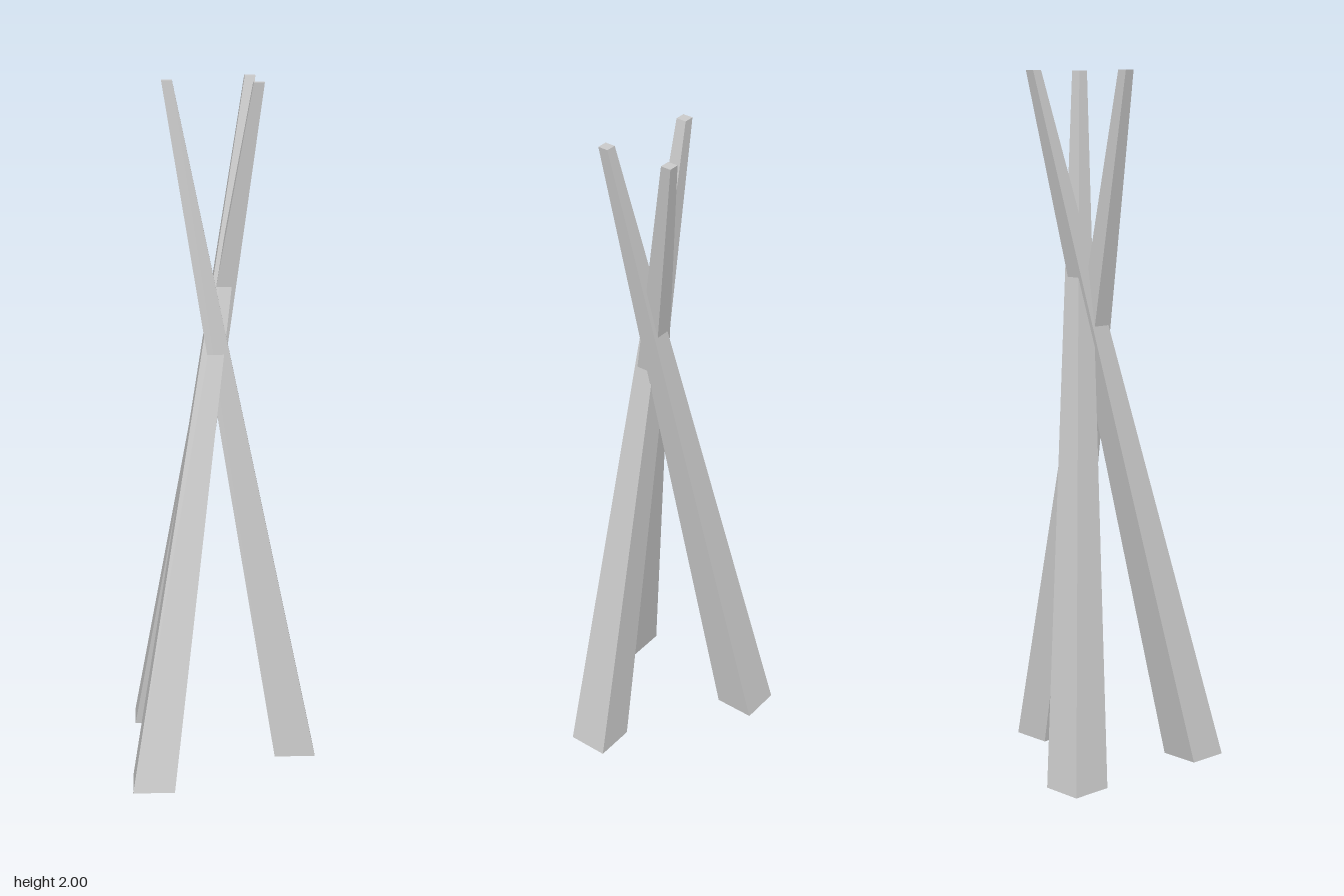
import * as THREE from 'three';

const material = new THREE.MeshStandardMaterial({ color: 0xcccccc, flatShading: true });

// Square pole that tapers and leans from a foot centre to a tip centre, both ends level
function leaningPole(name, foot, tip, footSize = 0.12, tipSize = 0.03) {
  const geometry = new THREE.BoxGeometry(1, 1, 1).toNonIndexed();
  const p = geometry.attributes.position;
  const a = new THREE.Vector3(...foot), b = new THREE.Vector3(...tip);
  for (let i = 0; i < p.count; i++) {
    const t = p.getY(i) + 0.5;
    const size = THREE.MathUtils.lerp(footSize, tipSize, t);
    const c = a.clone().lerp(b, t);
    p.setXYZ(i, c.x + p.getX(i) * size, c.y, c.z + p.getZ(i) * size);
  }
  geometry.computeVertexNormals();
  const mesh = new THREE.Mesh(geometry, material);
  mesh.name = name;
  return mesh;
}

export function createModel() {
  const group = new THREE.Group();
  group.name = 'crossedPoles';
  // Three poles crossing one another above mid height
  group.add(
    leaningPole('frontRightPole', [-0.211, 0, 0.233], [0.08, 2, -0.132]),
    leaningPole('backRightPole', [-0.205, 0.008, -0.235], [0.095, 2, 0.059]),
    leaningPole('leftPole', [0.21, 0.01, 0.025], [-0.156, 2, -0.003]),
  );
  return group;
}
